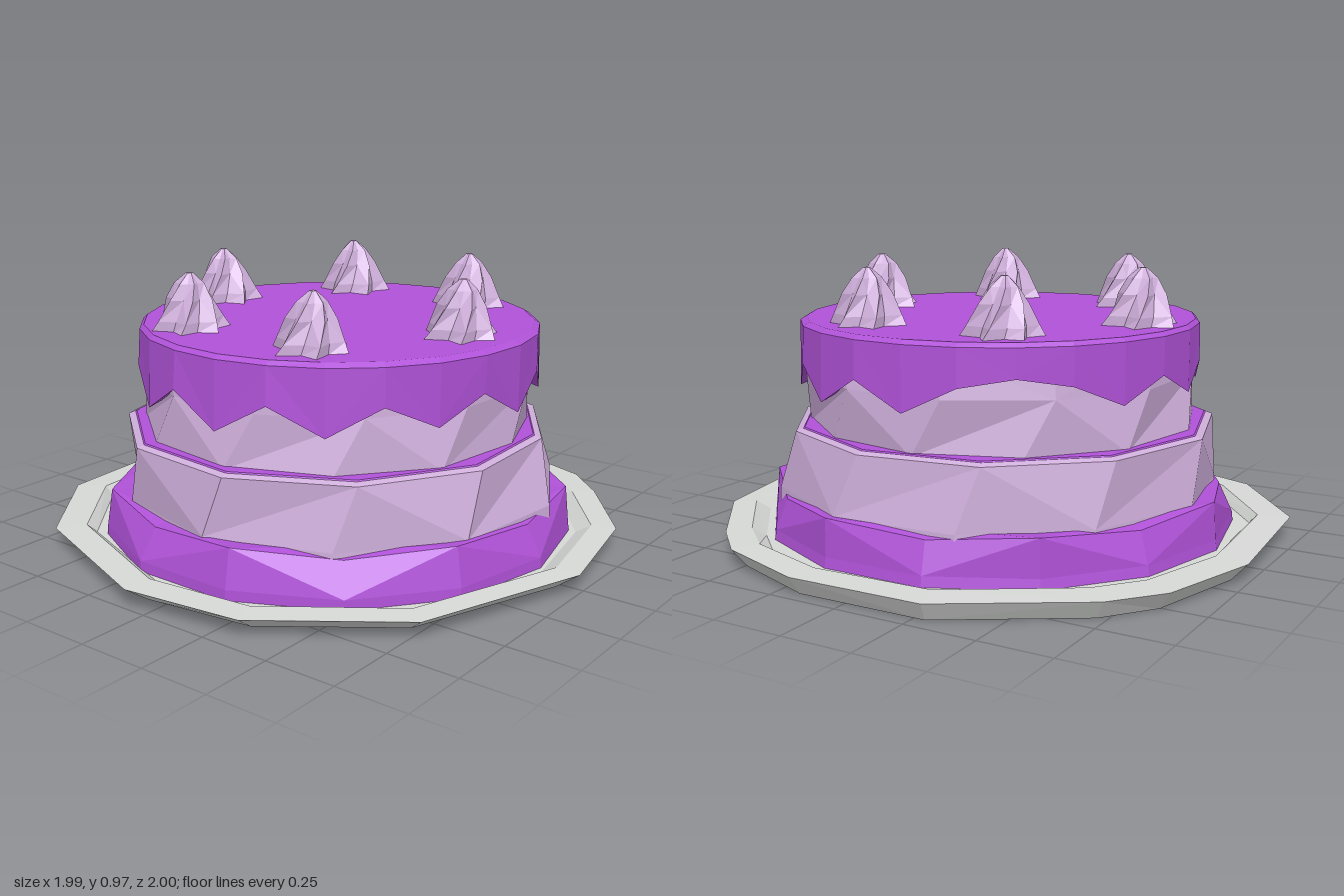
import * as THREE from 'three';

const material = (name, color) => {
  const m = new THREE.MeshStandardMaterial({ color });
  m.name = name;
  return m;
};

// Small repeatable irregularity, from -1 to 1
const wobble = (i, seed) => Math.sin(i * 12.9898 + seed * 78.233);

// Faceted skin through closed rings listed from bottom to top (outside facing out)
function loft(rings, capBottom = true, capTop = true) {
  const pos = [];
  const tri = (a, b, c) => pos.push(...a, ...b, ...c);
  const n = rings[0].length;
  for (let k = 0; k < rings.length - 1; k++) {
    for (let j = 0; j < n; j++) {
      const a = rings[k][j], b = rings[k][(j + 1) % n];
      const c = rings[k + 1][(j + 1) % n], d = rings[k + 1][j];
      if ((j + k) % 2) { tri(a, b, c); tri(a, c, d); }
      else { tri(a, b, d); tri(b, c, d); }
    }
  }
  const cap = (ring, up) => {
    const mid = [0, 1, 2].map(i => ring.reduce((s, p) => s + p[i], 0) / n);
    for (let j = 0; j < n; j++) {
      const a = ring[j], b = ring[(j + 1) % n];
      if (up) tri(mid, a, b); else tri(mid, b, a);
    }
  };
  if (capBottom) cap(rings[0], false);
  if (capTop) cap(rings[rings.length - 1], true);
  const g = new THREE.BufferGeometry();
  g.setAttribute('position', new THREE.Float32BufferAttribute(pos, 3));
  g.computeVertexNormals();
  return g;
}

// One ring; radius and height may be numbers or functions of the corner index
function ring(n, radius, height, turn = 0) {
  const val = (v, i) => (typeof v === 'function' ? v(i) : v);
  return Array.from({ length: n }, (_, i) => {
    const t = turn + (i / n) * Math.PI * 2, r = val(radius, i);
    return [Math.sin(t) * r, val(height, i), Math.cos(t) * r];
  });
}

export function createModel() {
  const purple = material('purple icing', 0xb052d8);
  const mauve = material('mauve sponge', 0xcfafdb);
  const grey = material('grey plate', 0xd6d8d6);
  const cake = new THREE.Group();
  cake.name = 'cake';
  const add = (name, geometry, mat, parent = cake) => {
    const mesh = new THREE.Mesh(geometry, mat);
    mesh.name = name;
    parent.add(mesh);
    return mesh;
  };

  // Plate: uneven rim around a shallow dish
  const rim = [
    [-0.03, 1.0], [0.42, 0.91], [0.73, 0.67], [0.87, 0.52], [0.99, 0.18], [0.98, -0.3],
    [0.7, -0.75], [0.53, -0.89], [0.16, -1.0], [-0.42, -0.95], [-0.78, -0.66],
    [-1.0, -0.08], [-0.95, 0.35], [-0.63, 0.79],
  ];
  const plateRing = (scale, y) => rim.map(([x, z], i) => {
    const s = typeof scale === 'function' ? scale(i) : scale;
    return [x * s, y, z * s];
  });
  add('plate', loft([
    plateRing(i => 0.93 + 0.03 * wobble(i, 2), 0),
    plateRing(1, 0.065),
    plateRing(i => 0.9 + 0.015 * wobble(i, 5), 0.07),
    plateRing(0.86, 0.04),
  ]), grey);

  // Piped border around the foot of the cake
  add('footIcing', loft([
    ring(14, i => 0.84 + 0.012 * wobble(i, 1), 0.03),
    ring(14, i => 0.835 + 0.015 * wobble(i, 1), 0.075),
    ring(14, i => (i % 2 ? 0.82 : 0.785), i => (i % 2 ? 0.205 : 0.18)),
    ring(14, 0.72, 0.195),
  ]), purple);

  // Lower tier of sponge with a layer of icing on its ledge
  add('lowerTier', loft([
    ring(11, i => 0.79 + 0.015 * wobble(i, 3), 0.1, 0.2),
    ring(11, i => 0.785 + 0.015 * wobble(i, 3), 0.2, 0.2),
    ring(11, i => 0.755 + 0.015 * wobble(i, 4), 0.41, 0.3),
    ring(11, i => 0.735 + 0.015 * wobble(i, 4), 0.418, 0.3),
  ]), mauve);
  add('ledgeIcing', loft([
    ring(11, i => 0.73 + 0.015 * wobble(i, 4), 0.418, 0.3),
    ring(11, i => 0.725 + 0.015 * wobble(i, 4), 0.422, 0.3),
  ], false), purple);

  // Upper tier of sponge
  add('upperTier', loft([
    ring(12, i => 0.69 + 0.012 * wobble(i, 6), 0.41, 0.1),
    ring(12, i => 0.685 + 0.008 * wobble(i, 7), 0.6, 0.25),
    ring(12, 0.67, 0.74, 0.25),
  ]), mauve);

  // Top icing with hanging drips; one drip is missing on the back left
  const drip = i => (i === 8 ? 0.67 : i % 2 ? 0.64 : 0.55 + 0.015 * wobble(i, 8));
  const side = i => 0.705 + 0.008 * wobble(i, 9);
  add('topIcing', loft([
    ring(24, 0.665, i => drip(i) + 0.02, 0.07),
    ring(24, side, drip, 0.07),
    ring(24, i => 0.705 + 0.006 * wobble(i >> 1, 3), 0.768, 0.07),
    ring(24, 0.685, 0.782, 0.07),
  ], false), purple);

  // Six twisted cream swirls
  const swirlRing = (outer, inner, y, turn) =>
    ring(12, i => (i % 2 ? inner : outer) * (1 + 0.08 * wobble(i, 4)), y, turn);
  const swirlGeometry = loft([
    swirlRing(0.135, 0.085, 0, 0),
    swirlRing(0.115, 0.08, 0.035, 0.12),
    swirlRing(0.083, 0.056, 0.105, 0.38),
    swirlRing(0.05, 0.036, 0.158, 0.6),
    swirlRing(0.012, 0.01, 0.192, 0.8),
  ]);
  const swirls = new THREE.Group();
  swirls.name = 'creamSwirls';
  cake.add(swirls);
  for (let k = 0; k < 6; k++) {
    const t = (k / 6) * Math.PI * 2;
    const swirl = add('creamSwirl', swirlGeometry, mauve, swirls);
    swirl.position.set(Math.sin(t) * 0.53, 0.78, Math.cos(t) * 0.53 - 0.015);
    swirl.rotation.y = k * 1.3;
  }
  return cake;
}
